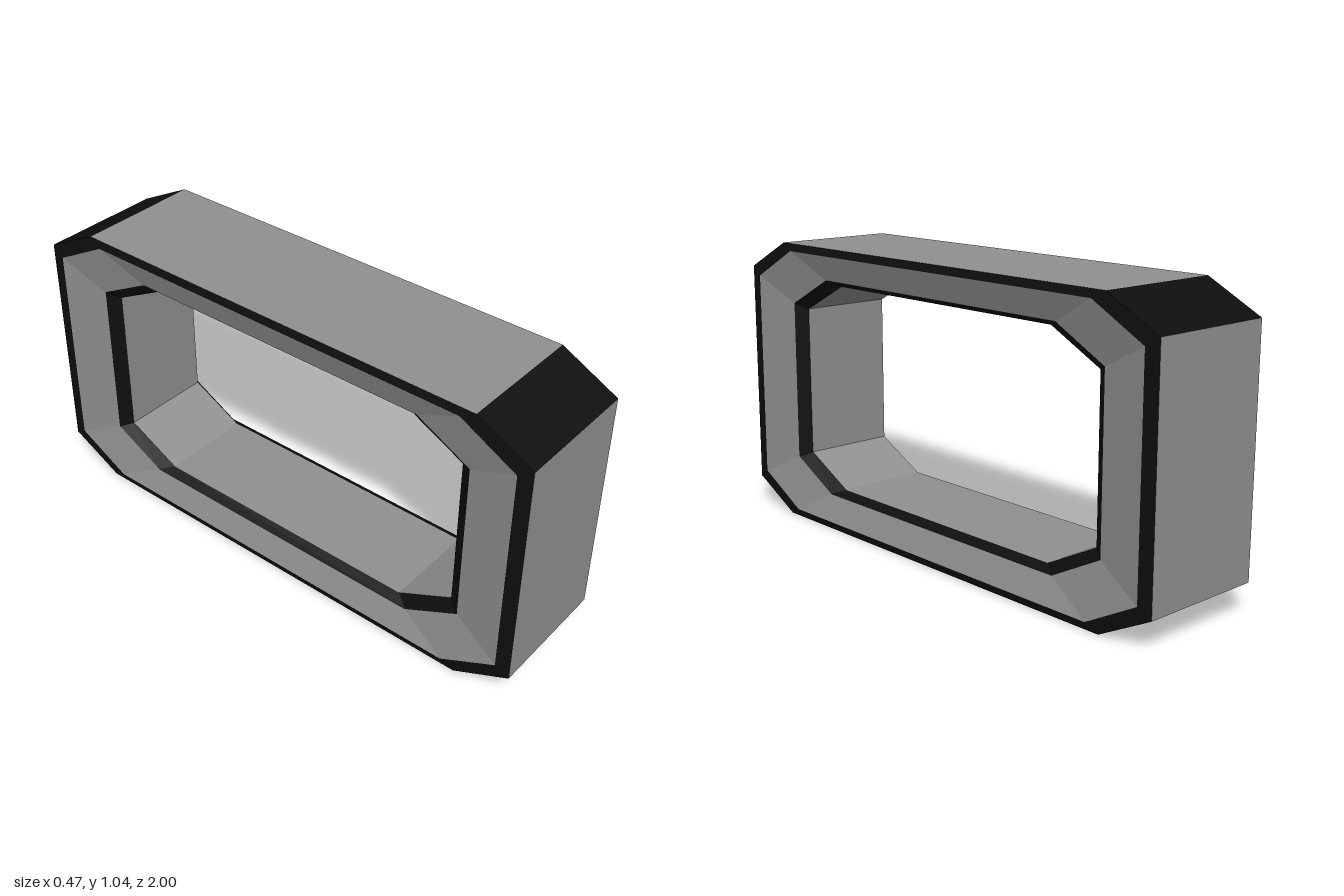
import * as THREE from 'three';

const MID_Y = 0.52;

// Cross-section loops: half width x, then octagon half sizes
// (hz, hy = flat sides; cz, cy = where the chamfers start)
const outer = { x: 0.23, hz: 1, cz: 0.795, hy: 0.52, cy: 0.415 };
const rim = { x: 0.237, hz: 0.95, cz: 0.745, hy: 0.493, cy: 0.383 };
const shoulder = { x: 0.205, hz: 0.775, cz: 0.575, hy: 0.4, cy: 0.295 };
const hole = { x: 0.173, hz: 0.73, cz: 0.525, hy: 0.38, cy: 0.275 };

function octagon({ x, hz, cz, hy, cy }, side) {
  return [[hz, cy], [cz, hy], [-cz, hy], [-hz, cy], [-hz, -cy], [-cz, -hy], [cz, -hy], [hz, -cy]]
    .map(([z, y]) => [x * side, MID_Y + y, z]);
}

// Flat quads joining two octagon loops on the chosen edges
function band(from, to, edges) {
  const out = [];
  for (const i of edges) {
    const j = (i + 1) % 8;
    for (const p of [from[i], to[i], to[j], from[i], to[j], from[j]]) out.push(...p);
  }
  return out;
}

export function createModel() {
  const group = new THREE.Group();
  const grey = new THREE.MeshStandardMaterial({ name: 'grey panel', color: 0x909090 });
  const black = new THREE.MeshStandardMaterial({ name: 'black trim', color: 0x0e0e0e });

  const add = (name, material, positions) => {
    const geometry = new THREE.BufferGeometry();
    geometry.setAttribute('position', new THREE.Float32BufferAttribute(positions, 3));
    geometry.computeVertexNormals();
    const mesh = new THREE.Mesh(geometry, material);
    mesh.name = name;
    group.add(mesh);
  };

  const chamfers = [0, 2, 4, 6];
  const flats = [1, 3, 5, 7];
  const all = [...chamfers, ...flats];

  // Outside: grey flat panels and black chamfered corners
  add('outerPanels', grey, band(octagon(outer, -1), octagon(outer, 1), flats));
  add('outerCorners', black, band(octagon(outer, -1), octagon(outer, 1), chamfers));

  // Both sides: black outer rim, sunken grey slope, black inner bevel
  for (const side of [1, -1]) {
    const prefix = side > 0 ? 'left' : 'right';
    const strip = (a, b) => side > 0
      ? band(octagon(a, 1), octagon(b, 1), all)
      : band(octagon(b, -1), octagon(a, -1), all);
    add(prefix + 'OuterRim', black, strip(outer, rim));
    add(prefix + 'Slope', grey, strip(rim, shoulder));
    add(prefix + 'InnerBevel', black, strip(shoulder, hole));
  }

  // Wall of the opening
  add('openingWall', grey, band(octagon(hole, 1), octagon(hole, -1), all));

  return group;
}
